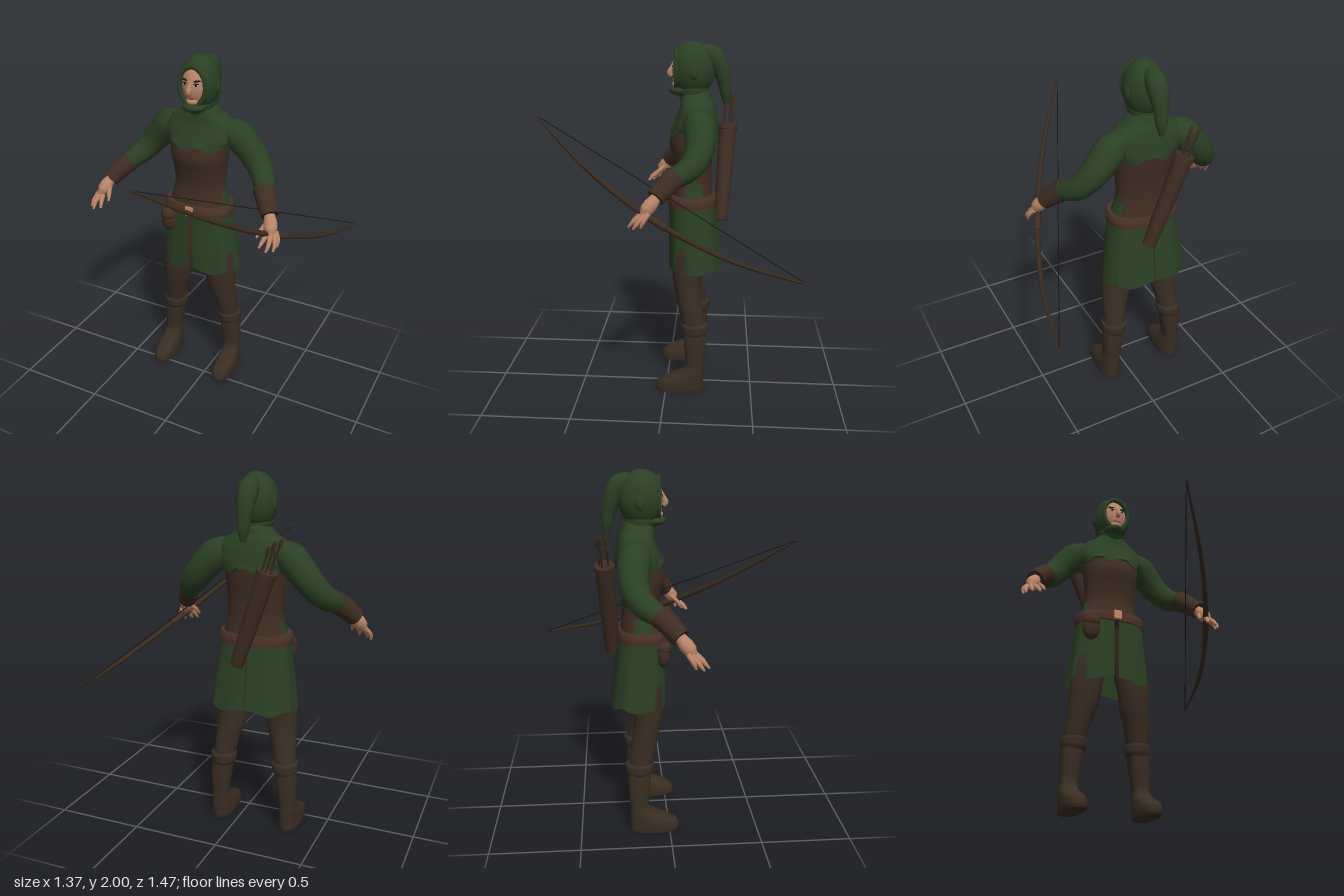
import * as THREE from 'three';
import { toCreasedNormals } from 'three/addons/utils/BufferGeometryUtils.js';

const mat = (name, color, extra = {}) => Object.assign(new THREE.MeshStandardMaterial({ color, ...extra }), { name });
const V = (p) => new THREE.Vector3(...p);

export function createModel() {
  const green = mat('green cloth', 0x2b4024, { side: THREE.DoubleSide });
  const leather = mat('brown leather', 0x3f2d22);
  const hide = mat('trouser and boot brown', 0x3a2d22);
  const strap = mat('belt brown', 0x4a3227);
  const skin = mat('skin', 0xb98468);
  const brass = mat('buckle', 0xc08a68);
  const wood = mat('bow wood', 0x382a1f);
  const dark = mat('dark hair and string', 0x17120f);
  const lips = mat('lips', 0x8c5248);
  const white = mat('eye white', 0xc9bdb2);

  const body = new THREE.Group();
  body.name = 'archer';
  body.position.x = -0.097;
  const bow = new THREE.Group();
  bow.name = 'bow';

  const add = (name, geo, material, parent = body) => {
    const m = new THREE.Mesh(geo, material);
    m.name = name;
    parent.add(m);
    return m;
  };
  const ball = (name, p, r, material, seg = 20) => {
    const m = add(name, new THREE.SphereGeometry(1, seg, Math.round(seg * 0.7)), material);
    m.position.set(...p);
    m.scale.set(...r);
    return m;
  };
  const sample = (list, u) => {
    const f = u * (list.length - 1), i = Math.min(Math.floor(f), list.length - 2);
    return THREE.MathUtils.lerp(list[i], list[i + 1], f - i);
  };

  // Closed round limb along a path with changing radius
  const sweep = (name, pts, radii, material, parent = body, sides = 14, n = 18) => {
    const curve = new THREE.CatmullRomCurve3(pts.map(V));
    const geo = new THREE.TubeGeometry(curve, n, 1, sides);
    const pos = geo.attributes.position, nor = geo.attributes.normal, dir = new THREE.Vector3();
    for (let i = 0; i <= n; i++) {
      const u = THREE.MathUtils.clamp((i - 1) / (n - 2), 0, 1), c = curve.getPointAt(u);
      const r = i === 0 || i === n ? 0 : sample(radii, u);
      for (let j = 0; j <= sides; j++) {
        const k = i * (sides + 1) + j;
        dir.fromBufferAttribute(nor, k).multiplyScalar(r).add(c);
        pos.setXYZ(k, dir.x, dir.y, dir.z);
      }
    }
    return add(name, toCreasedNormals(geo, 0.9), material, parent);
  };

  // Stack of rounded sections, top to bottom: [y, centreX, halfWidth, zFront, zBack]
  const loft = (name, rows, material, o = {}) => {
    const { e = 2.3, from = 0, to = Math.PI * 2, open = false, sides = 40, warp, second } = o;
    const centre = new THREE.CatmullRomCurve3(rows.map((r) => V([r[1], r[0], (r[3] + r[4]) / 2])));
    const size = new THREE.CatmullRomCurve3(rows.map((r) => V([r[2], (r[3] - r[4]) / 2, 0])));
    const steps = (rows.length - 1) * 4, verts = [], main = [], other = [], p = new THREE.Vector3();
    const pw = (v) => Math.sign(v) * Math.abs(v) ** (2 / e);
    const first = open ? 0 : -1, count = open ? steps : steps + 2;
    for (let k = 0; k <= count; k++) {
      const i = k + first, t = THREE.MathUtils.clamp(i / steps, 0, 1);
      const c = centre.getPoint(t), s = size.getPoint(t), f = i < 0 || i > steps ? 0 : 1;
      for (let j = 0; j <= sides; j++) {
        const a = from + ((to - from) * j) / sides;
        p.set(c.x + f * s.x * pw(Math.sin(a)), c.y, c.z + f * s.y * pw(Math.cos(a)));
        if (warp) warp(p, a, t);
        verts.push(p.x, p.y, p.z);
        if (k < count && j < sides) {
          const A = k * (sides + 1) + j, C = A + sides + 1;
          (second && second(c.y, a) ? other : main).push(A, C, A + 1, A + 1, C, C + 1);
        }
      }
    }
    const geo = new THREE.BufferGeometry();
    geo.setAttribute('position', new THREE.Float32BufferAttribute(verts, 3));
    geo.setIndex([...main, ...other]);
    if (second) {
      geo.addGroup(0, main.length, 0);
      geo.addGroup(main.length, other.length, 1);
    }
    return add(name, toCreasedNormals(geo, 0.9), material);
  };

  // Tunic, corset with green side gussets, and shoulder cowl
  loft('tunic', [[1.72, 0, 0.08, -0.07, -0.235], [1.62, 0, 0.17, -0.06, -0.26], [1.5, 0, 0.165, -0.025, -0.262],
    [1.4, 0, 0.155, -0.025, -0.25], [1.28, 0, 0.145, -0.055, -0.24], [1.1, 0, 0.185, -0.025, -0.255]], green);
  loft('corset', [[1.51, 0, 0.172, -0.018, -0.27], [1.44, 0, 0.166, -0.008, -0.262], [1.36, 0, 0.157, -0.03, -0.25],
    [1.27, 0, 0.152, -0.047, -0.246], [1.12, 0, 0.188, -0.02, -0.262]], [leather, green],
  { second: (y, a) => y < 1.28 && Math.abs(Math.abs(Math.sin(a)) - 1) < (1.28 - y) * 1.2 });
  loft('cowl', [[1.75, 0, 0.066, -0.055, -0.215], [1.7, 0, 0.085, -0.068, -0.24], [1.665, 0, 0.155, -0.068, -0.255],
    [1.62, 0, 0.2, -0.058, -0.268], [1.56, 0, 0.205, -0.035, -0.278], [1.505, 0, 0.183, -0.012, -0.284]], green,
  { warp: (p, a, t) => { if (t > 0.9) p.y += 0.012 * Math.sign(Math.sin(a * 7)); } });

  // Belt, buckle and pouch
  loft('belt', [[1.155, 0, 0.197, -0.006, -0.268], [1.125, 0, 0.206, 0.002, -0.276], [1.095, 0, 0.203, 0, -0.276]], strap, { e: 2.5 });
  const buckle = add('buckle', new THREE.BoxGeometry(0.046, 0.052, 0.012), brass);
  buckle.position.set(0, 1.13, 0.004);
  ball('pouch', [-0.148, 1.035, -0.03], [0.052, 0.075, 0.04], leather);
  ball('pouchFlap', [-0.148, 1.07, -0.028], [0.05, 0.04, 0.045], leather);

  for (const s of [1, -1]) {
    const side = s > 0 ? 'left' : 'right';
    const S = (x, y, z) => [s * x, y, z];

    // Skirt panel, slit at front and back centre
    loft(side + 'SkirtPanel', [[1.13, 0, 0.194, -0.012, -0.266], [1.02, 0, 0.206, -0.01, -0.28],
      [0.87, 0, 0.226, -0.008, -0.3], [0.735, 0, 0.242, -0.008, -0.318]], green, {
      e: 2.6, open: true, sides: 36, from: s > 0 ? 0 : Math.PI, to: s > 0 ? Math.PI : Math.PI * 2,
      warp: (p, a, t) => {
        const gap = p.z > -0.14 ? 0.014 : 0.003;
        if (Math.abs(p.x) < gap) p.x = s * gap;
        const fold = 1 + 0.018 * t * Math.sin(a * 9);
        p.x = s * Math.max(gap, Math.abs(p.x * fold));
        p.z = -0.15 + (p.z + 0.15) * fold;
        p.y += 0.012 * t * t * Math.cos(a * 6);
      } });

    // Leg, boot shaft, cuff and foot
    loft(side + 'Leg', [[1.08, s * 0.09, 0.088, -0.04, -0.25], [0.87, s * 0.122, 0.1, -0.03, -0.225],
      [0.7, s * 0.143, 0.092, -0.034, -0.195], [0.6, s * 0.153, 0.084, -0.05, -0.198],
      [0.5, s * 0.172, 0.07, -0.073, -0.212], [0.38, s * 0.187, 0.06, -0.1, -0.23]], hide, { e: 2, sides: 22 });
    loft(side + 'BootCuff', [[0.415, s * 0.187, 0.066, -0.093, -0.24], [0.405, s * 0.187, 0.074, -0.086, -0.246],
      [0.365, s * 0.188, 0.072, -0.09, -0.243], [0.345, s * 0.19, 0.06, -0.1, -0.233]], hide, { e: 2, sides: 22 });
    loft(side + 'Boot', [[0.38, s * 0.19, 0.062, -0.1, -0.232], [0.27, s * 0.2, 0.057, -0.108, -0.232],
      [0.16, s * 0.208, 0.048, -0.116, -0.222], [0.125, s * 0.209, 0.052, -0.088, -0.222],
      [0.09, s * 0.209, 0.057, -0.015, -0.222], [0.055, s * 0.208, 0.061, 0.046, -0.222],
      [0.02, s * 0.208, 0.061, 0.056, -0.221], [0, s * 0.208, 0.057, 0.05, -0.218]], hide, { e: 2.5, sides: 24 });

    // Sleeve, cuff and hand
    sweep(side + 'Sleeve', [S(0.13, 1.6, -0.165), S(0.19, 1.585, -0.175), S(0.25, 1.53, -0.187), S(0.315, 1.455, -0.187),
      S(0.378, 1.38, -0.15), S(0.45, 1.312, -0.04)], [0.06, 0.088, 0.084, 0.077, 0.07, 0.062, 0.046], green);
    sweep(side + 'Cuff', [S(0.425, 1.335, -0.067), S(0.465, 1.29, -0.018), S(0.505, 1.24, 0.03)], [0.062, 0.057, 0.05], leather);
    sweep(side + 'Palm', [S(0.49, 1.255, 0.015), S(0.512, 1.222, 0.042), S(0.528, 1.185, 0.072), S(0.54, 1.155, 0.095)],
      [0.03, 0.031, 0.038, 0.036, 0.016], skin);
    const fingers = [[[0.555, 1.17, 0.063], [0.578, 1.135, 0.085], [0.58, 1.1, 0.1]],
      [[0.552, 1.162, 0.08], [0.574, 1.12, 0.118], [0.574, 1.09, 0.14]],
      [[0.538, 1.158, 0.095], [0.548, 1.122, 0.142], [0.543, 1.092, 0.168]],
      [[0.518, 1.16, 0.1], [0.508, 1.127, 0.137], [0.5, 1.102, 0.158]],
      [[0.5, 1.205, 0.05], [0.48, 1.17, 0.092], [0.468, 1.138, 0.12]]];
    fingers.forEach((f, i) => sweep(side + (i < 4 ? 'Finger' : 'Thumb') + (i + 1), f.map((p) => S(...p)),
      [0.015, 0.014, 0.012, 0.006], skin, body, 8, 10));
  }

  // Head, nose and painted face details
  const faceZ = (x, y) => -0.12 + 0.1 * Math.sqrt(1 - (x / 0.085) ** 2 - ((y - 1.845) / 0.125) ** 2);
  ball('face', [0, 1.845, -0.12], [0.085, 0.125, 0.1], skin, 28);
  ball('chin', [0, 1.767, -0.065], [0.04, 0.026, 0.045], skin);
  sweep('nose', [[0, 1.885, -0.03], [0, 1.85, -0.014], [0, 1.825, -0.006], [0, 1.812, -0.018]], [0.008, 0.011, 0.016, 0.012], skin, body, 10);
  const mark = (name, x, y, w, h, material, lift = 0, tilt = 0) => {
    const m = ball(name, [x, y, faceZ(x, y) + lift], [w, h, 0.004], material, 12);
    m.rotation.set(0, x * 8, tilt);
  };
  for (const s of [1, -1]) {
    mark('eye', s * 0.033, 1.864, 0.015, 0.007, white);
    mark('iris', s * 0.033, 1.864, 0.007, 0.007, dark, 0.002);
    mark('upperLid', s * 0.033, 1.871, 0.017, 0.003, dark, 0.002);
    mark('eyebrow', s * 0.036, 1.885, 0.022, 0.005, dark, 0.001, s * 0.12);
  }
  mark('mouth', 0, 1.789, 0.024, 0.008, lips, 0.001);

  // Hood shell with face opening, rim, chin wrap, ear bumps and hanging tail
  const shell = new THREE.SphereGeometry(1, 36, 24, 0, Math.PI * 2, 0.78, Math.PI - 0.78).rotateX(Math.PI / 2);
  const hood = add('hood', shell, green);
  hood.position.set(0, 1.85, -0.133);
  hood.scale.set(0.108, 0.15, 0.125);
  const rim = add('hoodRim', new THREE.TorusGeometry(0.077, 0.012, 8, 36), green);
  rim.scale.y = 1.38;
  rim.position.set(0, 1.85, -0.046);
  ball('chinWrap', [0, 1.735, -0.07], [0.068, 0.03, 0.068], green);
  ball('neckWrap', [0, 1.74, -0.135], [0.082, 0.08, 0.09], green);
  for (const s of [1, -1]) ball('earBump', [s * 0.094, 1.84, -0.145], [0.021, 0.045, 0.03], green);
  sweep('hoodTail', [[0, 1.955, -0.19], [0, 1.925, -0.245], [0, 1.85, -0.288], [0, 1.76, -0.312], [0, 1.66, -0.322]],
    [0.035, 0.056, 0.054, 0.046, 0.036, 0.03, 0.012], green);

  // Quiver on the back with arrows
  const top = V([-0.135, 1.52, -0.335]), low = V([0.045, 1.0, -0.305]);
  const along = (t, dx = 0, dz = 0) => { const p = top.clone().lerp(low, t); return [p.x + dx, p.y, p.z + dz]; };
  sweep('quiver', [along(0), along(0.5), along(1)], [0.05, 0.047, 0.043, 0.036], leather);
  sweep('quiverRim', [along(-0.01), along(0.02), along(0.05)], [0.054, 0.054], leather);
  [[-0.025, -0.01, -0.34], [0.012, 0.02, -0.3], [0.024, -0.018, -0.26], [-0.008, 0.022, -0.22], [0, -0.025, -0.31]].forEach(([dx, dz, t], i) => {
    sweep('arrow' + i, [along(0.05, dx, dz), along(t, dx, dz)], [0.005, 0.005], wood, body, 6, 4);
    sweep('fletching' + i, [along(t + 0.1, dx, dz), along(t + 0.01, dx, dz)], [0.006, 0.012, 0.01], leather, body, 4, 6);
  });

  // Bow and string
  const a = [0, 1.6, 0.735], b = [0.68, 0.89, -0.735];
  const limb = [0, 0.25, 0.5, 0.75, 1].map((t) => a.map((v, i) => v + (b[i] - v) * t + [0.115, -0.115, 0.03][i] * 4 * t * (1 - t)));
  sweep('bowStave', limb, [0.005, 0.011, 0.014, 0.016, 0.014, 0.011, 0.005], wood, bow, 10, 40);
  sweep('bowGrip', [0.46, 0.5, 0.54].map((t) => a.map((v, i) => v + (b[i] - v) * t + [0.115, -0.115, 0.03][i] * 4 * t * (1 - t))),
    [0.018, 0.019, 0.018], leather, bow, 10, 8);
  sweep('bowString', [a, b], [0.0025, 0.0025], dark, bow, 6, 4);

  const model = new THREE.Group();
  model.name = 'hoodedArcher';
  model.add(body, bow);
  return model;
}
